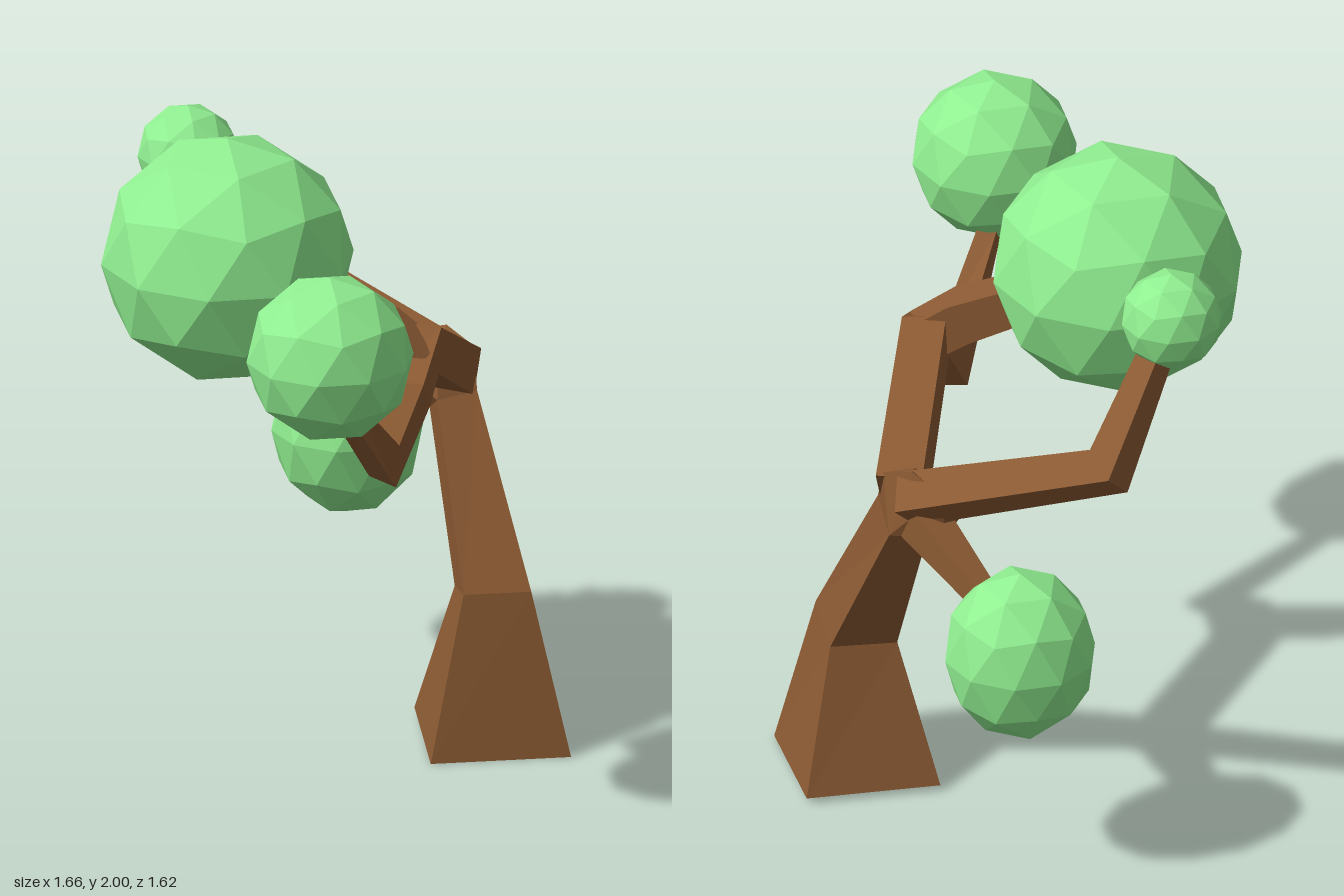
import * as THREE from 'three';
import { ConvexGeometry } from 'three/addons/geometries/ConvexGeometry.js';

const V = (p) => new THREE.Vector3(...p);
const bark = new THREE.MeshStandardMaterial({ color: 0x8b5a33, flatShading: true });
const leaf = new THREE.MeshStandardMaterial({ color: 0x90ee90, flatShading: true });

function mesh(name, geometry, material) {
  const m = new THREE.Mesh(geometry, material);
  m.name = name;
  return m;
}

// Skins a list of four-cornered rings and closes both ends
function skin(rings) {
  const pos = [];
  const quad = (a, b, c, d) => [a, b, c, a, c, d].forEach((p) => pos.push(p.x, p.y, p.z));
  for (let i = 0; i < rings.length - 1; i++) {
    for (let k = 0; k < 4; k++) {
      const n = (k + 1) % 4;
      quad(rings[i][k], rings[i][n], rings[i + 1][n], rings[i + 1][k]);
    }
  }
  quad(...[...rings[0]].reverse());
  quad(...rings[rings.length - 1]);
  const g = new THREE.BufferGeometry();
  g.setAttribute('position', new THREE.Float32BufferAttribute(pos, 3));
  g.computeVertexNormals();
  return g;
}

// Square limb along a bent path of [x, y, z, halfWidth], mitred at each bend
function limb(path, sideAxis) {
  const pts = path.map(V3 => V(V3.slice(0, 3)));
  const dirs = pts.slice(1).map((p, i) => p.clone().sub(pts[i]).normalize());
  const rings = pts.map((p, i) => {
    const d = dirs[Math.max(i - 1, 0)];
    const n = d.clone().add(dirs[Math.min(i, dirs.length - 1)]).normalize();
    const s = V(sideAxis).projectOnPlane(d).normalize();
    const t = d.clone().cross(s);
    const h = path[i][3];
    return [[1, 1], [-1, 1], [-1, -1], [1, -1]].map(([a, b]) => {
      const o = s.clone().multiplyScalar(a * h).addScaledVector(t, b * h);
      return o.addScaledVector(d, -o.dot(n) / d.dot(n)).add(p);
    });
  });
  return skin(rings);
}

export function createModel() {
  const tree = new THREE.Group();
  tree.name = 'tree';

  // Leaning trunk: flared foot, waist and crown rings
  const crown = [[0, 1.03, -0.43], [0.06, 1.05, -0.54], [-0.05, 0.98, -0.61], [-0.11, 0.96, -0.5]];
  const trunkRings = [
    [[0.285, 0, -0.14], [0.53, 0, -0.495], [0.175, 0.02, -0.735], [-0.07, 0.02, -0.4]],
    [[0.275, 0.51, -0.285], [0.395, 0.51, -0.455], [0.22, 0.47, -0.58], [0.1, 0.46, -0.41]],
    crown,
  ].map((ring) => ring.map(V));
  tree.add(mesh('trunk', skin(trunkRings), bark));

  // Faceted knot where the branches leave the trunk
  const knot = [...crown, [-0.11, 1.21, -0.57], [0.0, 1.17, -0.58], [-0.23, 1.08, -0.45],
    [-0.2, 1.0, -0.52], [-0.22, 1.17, -0.56], [-0.03, 1.16, -0.46]];
  tree.add(mesh('branchKnot', new ConvexGeometry(knot.map(V)), bark));

  // Branches
  const branches = {
    frontBranch: [[[-0.03, 1.1, -0.53, 0.072], [0.25, 1.35, -0.12, 0.068], [0.36, 1.27, 0.02, 0.058],
      [0.39, 1.09, 0.15, 0.048], [0.5, 1.39, 0.44, 0.03]], [0.87, 0, -0.45]],
    frontFork: [[[0.3, 1.32, -0.09, 0.065], [0.19, 1.41, -0.02, 0.068], [0.02, 1.5, 0.08, 0.06]], [0.3, 0, 0.5]],
    rightBranch: [[[-0.08, 1.1, -0.56, 0.065], [-0.72, 1.36, -0.35, 0.055], [-0.68, 1.64, -0.1, 0.04]],
      [0, 0.68, -0.73]],
    lowBranch: [[[-0.1, 1.04, -0.53, 0.06], [-0.42, 0.9, -0.585, 0.035]], [0, 0, 1]],
  };
  for (const [name, [path, axis]] of Object.entries(branches)) {
    tree.add(mesh(name, limb(path, axis), bark));
  }

  // Faceted balls of leaves: centre and radii, pole turned upright
  const foliage = {
    mainFoliage: [[-0.2, 1.615, 0.255], [0.39, 0.387, 0.39]],
    leftFoliage: [[0.58, 1.58, 0.55], [0.258, 0.26, 0.258]],
    smallFoliage: [[-0.685, 1.745, -0.03], [0.156, 0.157, 0.156]],
    lowFoliage: [[-0.56, 0.755, -0.575], [0.235, 0.277, 0.235]],
  };
  const ball = new THREE.IcosahedronGeometry(1, 1);
  ball.rotateZ(Math.atan(2 / (1 + Math.sqrt(5)))).rotateY(0.05);
  for (const [name, [centre, radii]] of Object.entries(foliage)) {
    const m = mesh(name, ball, leaf);
    m.position.set(...centre);
    m.scale.set(...radii);
    tree.add(m);
  }
  return tree;
}
